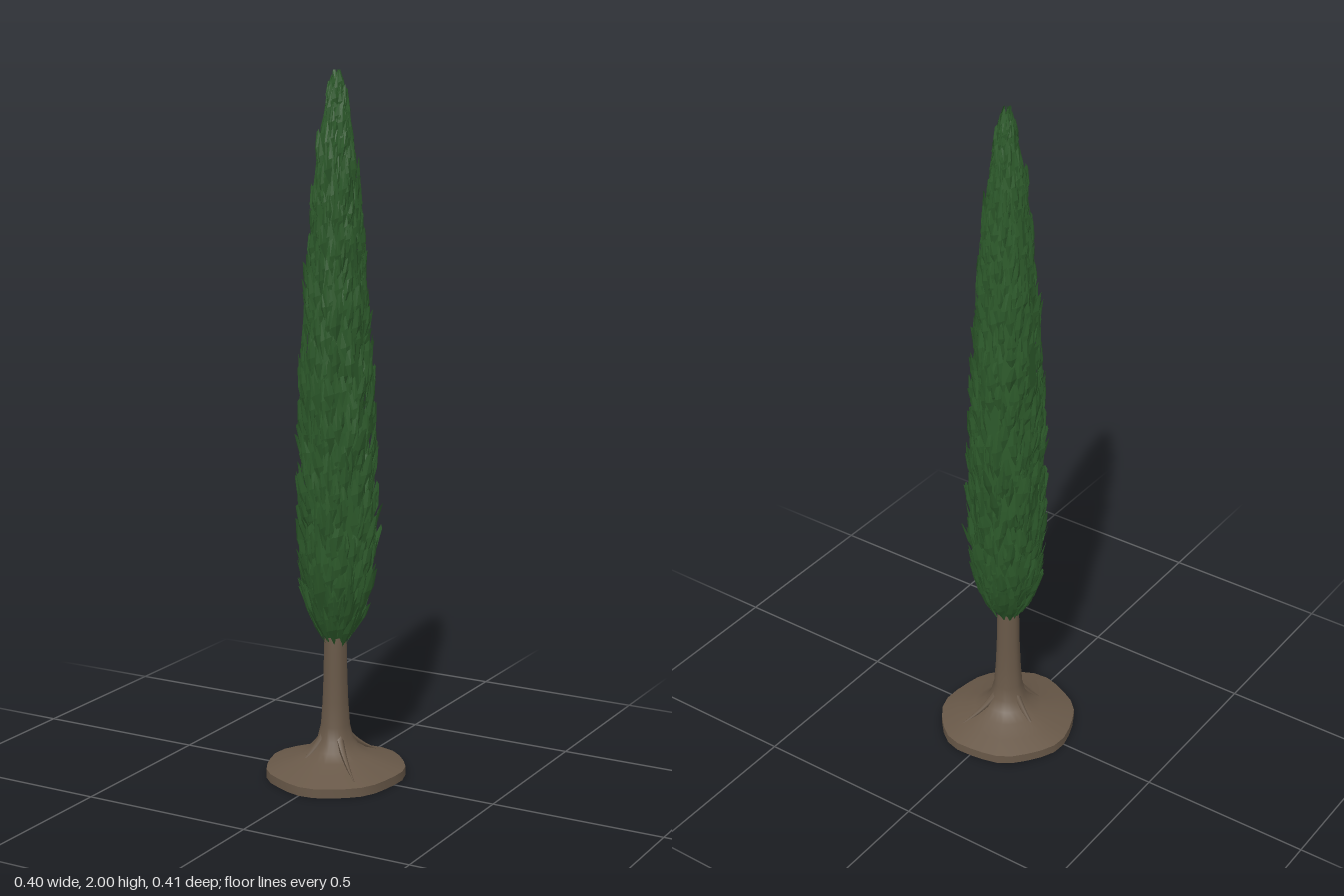
import * as THREE from 'three';
import { mergeVertices } from 'three/addons/utils/BufferGeometryUtils.js';

const leafGreen = new THREE.MeshStandardMaterial({ color: 0x2d5a2b, side: THREE.DoubleSide });
leafGreen.name = 'leafGreen';
const barkBrown = new THREE.MeshStandardMaterial({ color: 0x685848, side: THREE.DoubleSide });
barkBrown.name = 'barkBrown';

let seed = 7;
const random = () => (seed = (seed * 16807) % 2147483647) / 2147483647;
const spread = (amount) => (random() * 2 - 1) * amount;

// Crown outline as [height, radius]
const OUTLINE = [[0.38, 0.028], [0.42, 0.055], [0.46, 0.074], [0.52, 0.09], [0.62, 0.102], [0.8, 0.107],
  [1.0, 0.106], [1.2, 0.098], [1.4, 0.085], [1.6, 0.069], [1.75, 0.054], [1.85, 0.036], [1.93, 0.022], [2.0, 0.008]];

function crownRadius(y) {
  if (y <= OUTLINE[0][0]) return OUTLINE[0][1];
  for (let i = 1; i < OUTLINE.length; i++) {
    const [y0, r0] = OUTLINE[i - 1], [y1, r1] = OUTLINE[i];
    if (y <= y1) return r0 + (r1 - r0) * (y - y0) / (y1 - y0);
  }
  return 0.008;
}

// One folded, blunt-tipped spray of leaves, written as five triangles
function addSpray(out, angle, y, length, width, rBase, rTip, twist) {
  const dir = new THREE.Vector3(Math.sin(angle), 0, Math.cos(angle));
  const side = new THREE.Vector3(Math.cos(angle), 0, -Math.sin(angle))
    .multiplyScalar(Math.cos(twist)).addScaledVector(dir, Math.sin(twist));
  const lean = spread(0.012);
  const at = (u, h, bulge) => dir.clone().multiplyScalar(rBase + (rTip - rBase) * h + bulge)
    .addScaledVector(side, u * width + lean * h).add(new THREE.Vector3(0.004, Math.min(y + h * length, 1.995), 0));
  const base = at(0, 0, 0), mid = at(0, 0.5, 0.007);
  const left = at(-0.5, 0.45, 0), right = at(0.5, 0.55, 0);
  const tipL = at(-0.2, 0.92, 0), tipR = at(0.15, 1, 0);
  for (const p of [base, right, mid, base, mid, left, mid, right, tipR, mid, tipR, tipL, mid, tipL, left]) {
    out.push(p.x, p.y, p.z);
  }
}

function buildFoliage() {
  const out = [];
  const count = 1000;
  for (let i = 0; i < count; i++) {
    const t = i / (count - 1);
    const y = 0.385 + 1.53 * Math.pow(t, 1.12);
    const angle = i * 2.39996 + spread(0.25);
    const length = (0.115 + spread(0.03)) * (1 - 0.2 * t);
    const width = (0.034 + spread(0.01)) * (1 - 0.45 * t);
    const rBase = crownRadius(y) * (0.84 + spread(0.1));
    const rTip = crownRadius(y + length) * (0.98 + spread(0.1)) + 0.003;
    addSpray(out, angle, y, length, width, rBase, rTip, spread(0.75));
  }
  // Stray sprays that stand out from the crown: [angle, height, tip radius]
  for (const [a, y, r] of [[1.5, 0.5, 0.138], [1.7, 0.68, 0.138], [0.05, 0.5, 0.14], [0.1, 0.52, 0.13],
    [3.3, 0.85, 0.143], [3.45, 0.78, 0.138], [2.3, 0.6, 0.13], [1.1, 0.9, 0.125], [-0.7, 0.55, 0.12], [4.0, 0.7, 0.12]]) {
    addSpray(out, a, y, 0.13, 0.034, r - 0.05, r, spread(0.5));
  }
  const geometry = new THREE.BufferGeometry();
  geometry.setAttribute('position', new THREE.Float32BufferAttribute(out, 3));
  geometry.computeVertexNormals();
  return geometry;
}

// Uneven turned shape, welded so it shades smoothly round the seam
function unevenLathe(points, segments) {
  const geometry = new THREE.LatheGeometry(points.map(([r, y]) => new THREE.Vector2(r, y)), segments);
  geometry.deleteAttribute('uv');
  geometry.deleteAttribute('normal');
  const pos = geometry.attributes.position;
  for (let i = 0; i < pos.count; i++) {
    const x = pos.getX(i), z = pos.getZ(i), a = Math.atan2(x, z);
    const k = 1 + 0.018 * Math.sin(3 * a + 0.6) + 0.016 * Math.sin(7 * a + 1);
    pos.setX(i, x * k * 0.985);
    pos.setZ(i, z * k * 1.02);
  }
  const welded = mergeVertices(geometry, 1e-4);
  welded.computeVertexNormals();
  return welded;
}

export function createModel() {
  const tree = new THREE.Group();
  tree.name = 'cypressTree';
  const add = (name, geometry, material) => {
    const mesh = new THREE.Mesh(geometry, material);
    mesh.name = name;
    tree.add(mesh);
    return mesh;
  };

  // Trunk flaring into a low mound, with a rim and a hollowed underside
  add('trunk', unevenLathe([[0.2, 0.026], [0.15, 0.045], [0.1, 0.063], [0.07, 0.083], [0.052, 0.11], [0.042, 0.15],
    [0.037, 0.22], [0.034, 0.3], [0.033, 0.37], [0.03, 0.45], [0.02, 0.6]], 28), barkBrown);
  add('baseRim', unevenLathe([[0.2, 0], [0.2, 0.026]], 28), barkBrown);
  add('underside', unevenLathe([[0.0001, 0.03], [0.1, 0.025], [0.17, 0.014], [0.2, 0]], 28), barkBrown);

  // Thin roots running down the mound: [x, z] of each tip
  for (const [x, z] of [[0.08, -0.152], [-0.135, -0.04], [0.127, 0.12], [-0.07, 0.11]]) {
    const r = Math.hypot(x, z), dx = x / r, dz = z / r;
    const top = new THREE.Vector3(dx * 0.035, 0.125, dz * 0.035);
    const tip = new THREE.Vector3(dx * r, 0.036, dz * r);
    const path = new THREE.QuadraticBezierCurve3(top, new THREE.Vector3(dx * 0.075, 0.07, dz * 0.075), tip);
    const geometry = new THREE.TubeGeometry(path, 8, 0.012, 6);
    // Taper each ring toward the tip
    const pos = geometry.attributes.position, p = new THREE.Vector3();
    for (let i = 0; i < pos.count; i++) {
      const t = Math.floor(i / 7) / 8;
      const centre = path.getPointAt(t);
      p.fromBufferAttribute(pos, i).sub(centre).multiplyScalar(1 - 0.85 * t).add(centre);
      pos.setXYZ(i, p.x, p.y, p.z);
    }
    geometry.computeVertexNormals();
    add('root', geometry, barkBrown);
  }

  // Solid core behind the sprays
  const core = OUTLINE.map(([y, r]) => new THREE.Vector2(r * 0.8, Math.min(y + 0.012, 1.98)));
  const coreGeometry = new THREE.LatheGeometry(core, 11).toNonIndexed();
  coreGeometry.computeVertexNormals();
  add('crownCore', coreGeometry, leafGreen);
  add('foliage', buildFoliage(), leafGreen);
  return tree;
}
